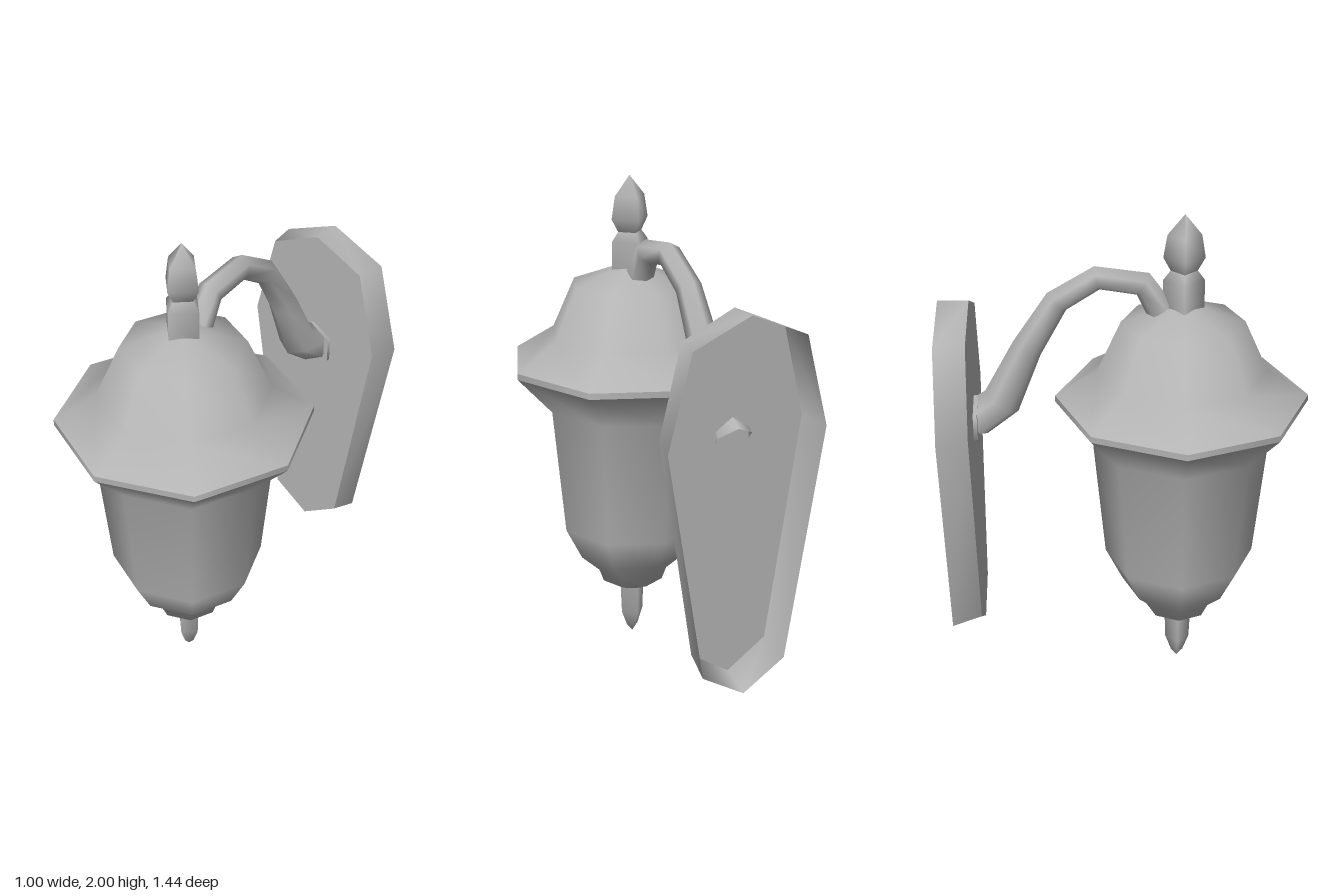
import * as THREE from 'three';

export function createModel() {
  const model = new THREE.Group();
  const metal = new THREE.MeshStandardMaterial({ color: 0xb4b4b4, side: THREE.DoubleSide });
  metal.name = 'grey metal';
  const axisZ = 0.22;

  function add(name, geometry, z = 0) {
    const mesh = new THREE.Mesh(geometry, metal);
    mesh.name = name;
    mesh.position.z = z;
    model.add(mesh);
    return mesh;
  }

  // Turned part on the lantern axis, profile from bottom to top
  function turned(name, sides, profile) {
    const points = profile.map(([r, y]) => new THREE.Vector2(r, y));
    add(name, new THREE.LatheGeometry(points, sides), axisZ);
  }

  // Skin over closed rings with equal point counts
  function loft(rings) {
    const n = rings[0].length;
    const index = [];
    for (let i = 0; i < rings.length - 1; i++) {
      for (let j = 0; j < n; j++) {
        const a = i * n + j, b = i * n + (j + 1) % n;
        index.push(a, b, a + n, b, b + n, a + n);
      }
    }
    const geometry = new THREE.BufferGeometry();
    geometry.setAttribute('position', new THREE.Float32BufferAttribute(rings.flat(2), 3));
    geometry.setIndex(index);
    geometry.computeVertexNormals();
    return geometry;
  }

  // Lantern
  turned('bottomFinial', 4, [[0, 0], [0.025, 0.03], [0.05, 0.1], [0.055, 0.23]]);
  turned('lanternBody', 8, [[0, 0.215], [0.05, 0.225], [0.135, 0.27], [0.155, 0.325],
    [0.235, 0.4], [0.305, 0.54], [0.355, 1.07], [0.5, 1.23]]);
  turned('roofRim', 8, [[0.5, 1.23], [0.5, 1.255]]);
  turned('roof', 8, [[0.5, 1.255], [0.335, 1.36], [0.24, 1.57], [0.06, 1.635], [0, 1.635]]);
  turned('finialBase', 4, [[0.08, 1.62], [0.08, 1.74], [0.05, 1.78]]);
  turned('topFinial', 4, [[0.05, 1.775], [0.08, 1.83], [0.065, 1.92], [0, 2]]);

  // Curved six-sided arm: z, y, radius at each bend
  const path = [[0.13, 1.62, 0.055], [0.065, 1.725, 0.05], [-0.11, 1.75, 0.048],
    [-0.265, 1.655, 0.05], [-0.385, 1.46, 0.06], [-0.49, 1.235, 0.078], [-0.6, 1.155, 0.08]];
  const armRings = path.map(([z, y, r], i) => {
    const p = path[Math.max(i - 1, 0)], q = path[Math.min(i + 1, path.length - 1)];
    const length = Math.hypot(q[0] - p[0], q[1] - p[1]);
    const tz = (q[0] - p[0]) / length, ty = (q[1] - p[1]) / length;
    return Array.from({ length: 6 }, (_, j) => {
      const c = r * Math.cos(j * Math.PI / 3), s = r * Math.sin(j * Math.PI / 3);
      return [s, y - tz * c, z + ty * c];
    });
  });
  add('arm', loft(armRings));

  // Six-sided collar where the arm meets the plate
  const collar = add('armCollar', new THREE.CylinderGeometry(0.102, 0.102, 0.016, 6));
  collar.rotation.x = Math.PI / 2;
  collar.position.set(0, 1.157, -0.592);

  // Hollow wall plate, open at the back with flared sides
  const half = [[0.235, 1.56], [0.33, 1.2], [0.178, 0.28]];
  const outline = [[0, 1.66], ...half, [0, 0.17], ...half.map(([x, y]) => [-x, y]).reverse()];
  const front = outline.map(([x, y]) => [x * 0.91, 1.66 - (1.66 - y) * 0.973]);
  add('wallPlateSides', loft([front.map(([x, y]) => [x, y, -0.6]),
    outline.map(([x, y]) => [x, y, -0.72])]));
  const shape = new THREE.Shape(front.map(([x, y]) => new THREE.Vector2(x, y)));
  add('wallPlateFace', new THREE.ShapeGeometry(shape), -0.6);

  return model;
}
